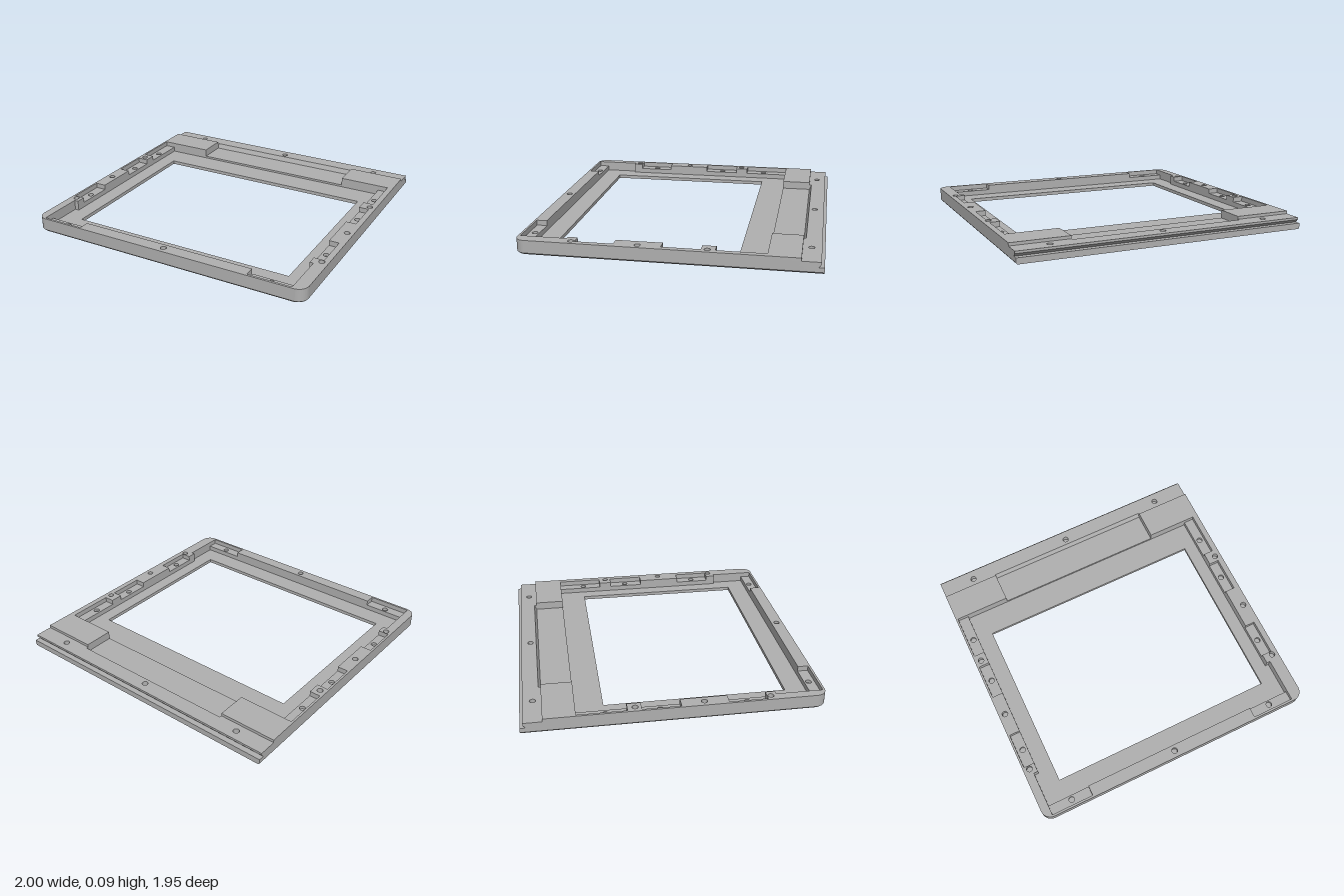
import * as THREE from 'three';
import { toCreasedNormals } from 'three/addons/utils/BufferGeometryUtils.js';

const FRONT = 0.975, RADIUS = 0.07, STEP = -0.835, SHELF = -0.63;

// Shapes are drawn in plan: shape x = model x, shape y = model z.
const pathOf = (pts) => new THREE.Path(pts.map(([x, z]) => new THREE.Vector2(x, z)));
const rect = (x0, x1, z0, z1) => pathOf([[x0, z0], [x1, z0], [x1, z1], [x0, z1]]);
const screw = ([x, z]) => new THREE.Path().absarc(x, z, 0.02, 0, Math.PI * 2);

// Rounded front corners, square back corners
function roundFront(shape) {
  shape.absarc(1 - RADIUS, FRONT - RADIUS, RADIUS, 0, Math.PI / 2);
  shape.absarc(-1 + RADIUS, FRONT - RADIUS, RADIUS, Math.PI / 2, Math.PI);
  return shape;
}
function outline(back, holes) {
  const s = new THREE.Shape();
  s.moveTo(-1, back);
  s.lineTo(1, back);
  roundFront(s);
  s.closePath();
  s.holes = holes;
  return s;
}

// One side of the cavity edge, from back to front, with or without pockets
function side(wall, pocket, corner, pocketEnd, withPockets) {
  const pts = [[wall, SHELF]];
  if (withPockets) {
    pts.length = 0;
    for (const [a, b] of [[SHELF, -0.31], [-0.22, 0.03], [0.335, 0.585]]) {
      if (a !== SHELF) pts.push([wall, a]);
      pts.push([pocket, a], [pocket, b], [wall, b]);
    }
  }
  pts.push([wall, 0.65], [corner, 0.65]);
  if (withPockets) pts.push([corner, 0.96], [pocketEnd, 0.96], [pocketEnd, 0.89]);
  else pts.push([corner, 0.89]);
  return pts;
}
const cavity = (withPockets) => [
  ...side(-0.91, -0.985, -0.94, -0.64, withPockets),
  ...side(0.89, 0.96, 0.915, 0.615, withPockets).reverse(),
];
const recess = [[0.6, SHELF], [0.6, STEP], [-0.6, STEP], [-0.6, SHELF]];

// Extrudes a plan shape between two heights; rule may move vertices
function layer(shape, y0, y1, rule) {
  const g = new THREE.ExtrudeGeometry(shape, { depth: y1 - y0, bevelEnabled: false, curveSegments: 12 });
  g.rotateX(Math.PI / 2);
  g.translate(0, y1, 0);
  if (rule) {
    const p = g.attributes.position, v = new THREE.Vector3();
    for (let i = 0; i < p.count; i++) {
      rule(v.fromBufferAttribute(p, i));
      p.setXYZ(i, v.x, v.y, v.z);
    }
  }
  return toCreasedNormals(g, 0.5);
}

export function createModel() {
  const model = new THREE.Group();
  const grey = new THREE.MeshStandardMaterial({ color: 0xb0b0b0 });
  grey.name = 'grey';
  const add = (name, geometry) => {
    const mesh = new THREE.Mesh(geometry, grey);
    mesh.name = name;
    model.add(mesh);
  };

  const window = () => rect(-0.8, 0.8, -0.445, 0.755);
  const rearScrews = [[-0.76, -0.89], [0, -0.89], [0.76, -0.89]];
  const pocketScrews = [[-0.78, 0.92], [0.76, 0.92]];
  const rimScrews = [[0, 0.93]];
  for (const z of [-0.445, -0.1, 0.46]) pocketScrews.push([-0.945, z], [0.925, z]);
  for (const z of [-0.26, 0.18, 0.61]) rimScrews.push([-0.955, z], [0.955, z]);

  // Underside with long grooves and a chamfered lower edge
  const grooves = [];
  for (let i = 0; i < 6; i++) {
    const z = -0.9 + i * 0.045;
    grooves.push(rect(-0.85, 0.85, z - 0.008, z + 0.008));
  }
  add('groovedUnderside', layer(outline(-FRONT, [window(), ...grooves]), 0, 0.01, (v) => {
    if (v.y > 0.005 || (Math.abs(v.x) < 0.9 && v.z < 0.9)) return;
    v.x *= 0.992;
    if (v.z > 0) v.z *= 0.992;
  }));

  // Floor around the window, then the shelf level around the cavity
  add('windowFloor', layer(outline(-FRONT, [window()]), 0.01, 0.025));
  add('shelf', layer(outline(-FRONT, [pathOf(cavity(false))]), 0.025, 0.04));

  // Walls: undercut along the back, sloping edge behind the recess
  const slope = (v) => {
    if (Math.abs(v.x) < 0.601 && Math.abs(v.z - STEP) < 0.001) v.z -= (v.y - 0.04) * 0.43;
    if (v.y < 0.041 && v.z < -0.95) v.z = -0.938;
  };
  add('lowerWall', layer(outline(-0.955,
    [pathOf([...cavity(false), ...recess]), ...[...rearScrews, ...pocketScrews].map(screw)]), 0.04, 0.06, slope));
  add('rearLipAndPocketWall', layer(outline(-0.955,
    [pathOf([...cavity(true), ...recess]), ...[...rearScrews, ...rimScrews].map(screw)]), 0.06, 0.075, slope));

  // Top rim: open at the back between two raised blocks
  const rim = new THREE.Shape();
  rim.moveTo(-1, STEP);
  for (const [x, z] of [[-0.6, STEP], [-0.6, SHELF], ...cavity(true), [0.6, SHELF], [0.6, STEP], [1, STEP]]) rim.lineTo(x, z);
  roundFront(rim);
  rim.closePath();
  rim.holes = rimScrews.map(screw);
  add('topRim', layer(rim, 0.075, 0.095));

  return model;
}
